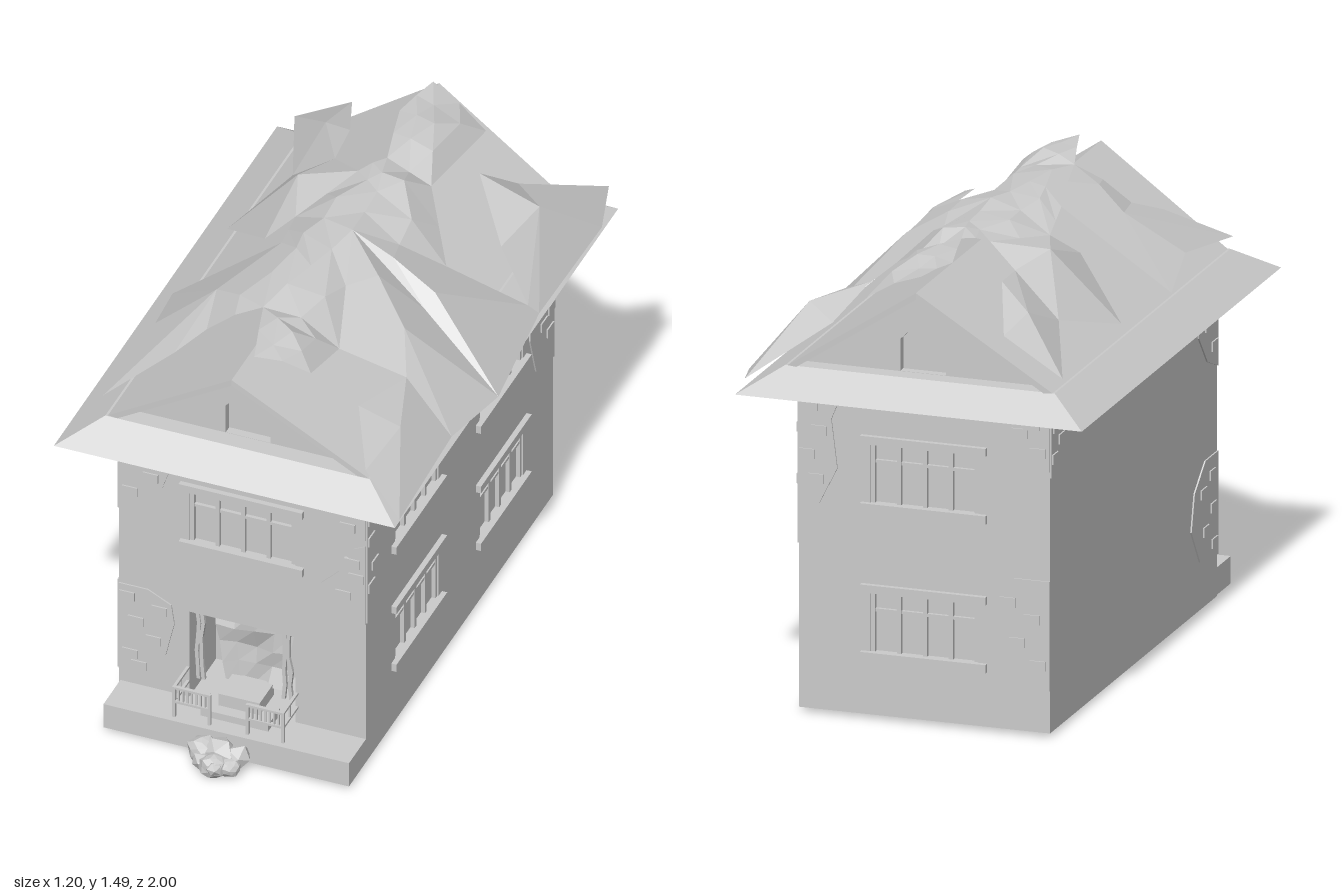
import * as THREE from 'three';

const stone = new THREE.MeshStandardMaterial({ color: 0xcccccc, side: THREE.DoubleSide });
stone.name = 'plain grey';

const hash = (a, b, c = 0) => {
  const s = Math.sin(a * 127.1 + b * 311.7 + c * 74.7) * 43758.5453;
  return s - Math.floor(s);
};
const flat = (g) => {
  const f = g.index ? g.toNonIndexed() : g;
  f.computeVertexNormals();
  return f;
};
function add(parent, name, geo, x = 0, y = 0, z = 0) {
  const m = new THREE.Mesh(geo, stone);
  m.name = name;
  m.position.set(x, y, z);
  parent.add(m);
  return m;
}
// box given by its lower and upper corner
function block(parent, name, a, b) {
  const s = b.map((v, i) => v - a[i]);
  return add(parent, name, new THREE.BoxGeometry(...s), ...a.map((v, i) => v + s[i] / 2));
}
const poly = (pts) => new THREE.Shape(pts.map((p) => new THREE.Vector2(...p)));
const rect = (x0, y0, x1, y1) => poly([[x0, y0], [x1, y0], [x1, y1], [x0, y1]]);
const slab = (shape, depth) => new THREE.ExtrudeGeometry(shape, { depth, bevelEnabled: false });
function reshape(g, rule) {
  const p = g.attributes.position, v = new THREE.Vector3();
  for (let i = 0; i < p.count; i++) {
    v.fromBufferAttribute(p, i);
    rule(v);
    p.setXYZ(i, v.x, v.y, v.z);
  }
  return flat(g);
}

// a recessed window between lintel and sill; u runs along the wall
function addWindow(wall, u, y0, h = 0.25) {
  const g = new THREE.Group();
  g.name = 'window';
  wall.add(g);
  const w = 0.18, lo = y0 + 0.028, hi = y0 + h - 0.026;
  add(g, 'glass', new THREE.PlaneGeometry(2 * w, hi - lo), u, (lo + hi) / 2, -0.018);
  block(g, 'sill', [u - 0.21, y0, -0.005], [u + 0.21, lo, 0.018]);
  block(g, 'lintel', [u - 0.21, hi, -0.005], [u + 0.21, y0 + h, 0.018]);
  for (let i = 0; i <= 4; i++) {
    const x = u + (w - 0.007) * (i / 2 - 1);
    block(g, 'mullion', [x - 0.007, lo, -0.018], [x + 0.007, hi, -0.004]);
  }
  block(g, 'crossBar', [u - w, hi - 0.065, -0.018], [u + w, hi - 0.055, -0.006]);
  return rect(u - w, lo, u + w, hi);
}

// wall with windows, bare-masonry patches and bricks
function addWall(root, name, turn, pos, u0, u1, windows, patches, bricks, door) {
  const wall = new THREE.Group();
  wall.name = name;
  wall.rotation.y = turn;
  wall.position.set(...pos);
  root.add(wall);
  const shape = rect(u0, 0.02, u1, 1.08);
  windows.forEach(([u, y]) => shape.holes.push(addWindow(wall, u, y)));
  if (door) shape.holes.push(door);
  add(wall, 'wallPanel', slab(shape, 0.02), 0, 0, -0.02);
  patches.forEach((p) => add(wall, 'plasterPatch', slab(poly(p), 0.005)));
  bricks.forEach(([u, y]) =>
    block(wall, 'brick', [u - 0.026, y - 0.016, 0], [u + 0.026, y + 0.016, 0.01]));
}

function addWalls(root) {
  const H = Math.PI / 2;
  addWall(root, 'frontWall', 0, [0, 0, 0.72], -0.44, 0.4, [[-0.02, 0.69]], [
    [[-0.44, 1.08], [-0.24, 1.08], [-0.19, 1.05], [-0.25, 1.02], [-0.29, 0.9], [-0.36, 0.81], [-0.44, 0.78]],
    [[0.26, 1.08], [0.4, 1.08], [0.4, 0.88], [0.35, 0.89], [0.3, 0.96], [0.285, 1.04]],
    [[0.4, 0.86], [0.36, 0.84], [0.31, 0.74], [0.25, 0.68], [0.27, 0.6], [0.32, 0.56], [0.4, 0.555]],
    [[-0.44, 0.49], [-0.34, 0.49], [-0.26, 0.45], [-0.25, 0.38], [-0.28, 0.25], [-0.33, 0.17], [-0.44, 0.16]],
  ], [[-0.41, 1.06], [-0.38, 1.0], [-0.33, 0.93], [-0.4, 0.86], [-0.32, 1.05], [0.35, 1.03], [0.37, 0.98],
    [0.34, 0.92], [0.355, 0.785], [0.37, 0.73], [0.325, 0.655], [-0.3, 0.42], [-0.38, 0.36], [-0.32, 0.3],
    [-0.4, 0.23], [-0.37, 0.19], [-0.41, 0.45]],
  rect(-0.2, 0.11, 0.16, 0.44));
  addWall(root, 'leftSideWall', H, [0.4, 0, 0], -0.72, 0.83,
    [[-0.3, 0.69], [0.4, 0.69], [-0.3, 0.235], [0.4, 0.235]], [
      [[-0.72, 0.56], [-0.56, 0.59], [-0.53, 0.75], [-0.56, 0.98], [-0.62, 1.06], [-0.72, 1.07]],
      [[0.83, 0.56], [0.83, 1.08], [0.7, 1.06], [0.65, 0.95], [0.63, 0.75], [0.68, 0.6]],
    ], [[-0.69, 0.87], [-0.66, 0.76], [-0.69, 0.69], [-0.69, 0.95], [0.77, 0.87], [0.8, 0.94], [0.8, 0.77],
      [0.74, 0.745], [0.79, 0.69]]);
  addWall(root, 'backWall', Math.PI, [0, 0, -0.83], -0.4, 0.44, [[0.02, 0.69], [0.02, 0.2]], [
    [[-0.4, 0.66], [-0.33, 0.7], [-0.27, 0.82], [-0.29, 0.98], [-0.25, 1.08], [-0.4, 1.08]],
    [[0.44, 0.88], [0.44, 1.08], [0.23, 1.08], [0.29, 1.02], [0.32, 0.92]],
    [[0.44, 0.16], [0.44, 0.52], [0.32, 0.52], [0.25, 0.44], [0.27, 0.28], [0.34, 0.18]],
  ], [[-0.36, 1.02], [-0.33, 0.94], [-0.37, 0.86], [-0.34, 0.78], [0.38, 1.03], [0.34, 1.0], [0.4, 0.94],
    [0.3, 0.44], [0.38, 0.39], [0.33, 0.31], [0.4, 0.24]]);
  addWall(root, 'rightSideWall', -H, [-0.44, 0, 0], -0.83, 0.72, [], [
    [[-0.83, 0.86], [-0.72, 0.9], [-0.66, 1.0], [-0.62, 1.08], [-0.83, 1.08]],
    [[0.72, 0.78], [0.72, 1.08], [0.5, 1.08], [0.54, 0.92], [0.62, 0.82]],
    [[0.72, 0.16], [0.72, 0.5], [0.6, 0.5], [0.5, 0.42], [0.47, 0.3], [0.55, 0.18]],
  ], [[-0.79, 1.02], [-0.74, 0.97], [-0.8, 0.92], [0.68, 1.0], [0.62, 0.94], [0.68, 0.86], [0.58, 0.4],
    [0.66, 0.44], [0.67, 0.33], [0.6, 0.27], [0.68, 0.21]]);
}

function addPorch(root) {
  block(root, 'porchPlatform', [-0.435, 0.02, 0.72], [0.4, 0.11, 0.86]);
  // doorway recess
  block(root, 'doorFloor', [-0.2, 0.1, 0.5], [0.16, 0.11, 0.72]);
  block(root, 'doorCeiling', [-0.2, 0.44, 0.5], [0.16, 0.45, 0.72]);
  block(root, 'doorBack', [-0.2, 0.1, 0.49], [0.16, 0.45, 0.5]);
  for (const x of [-0.21, 0.16]) block(root, 'doorSide', [x, 0.1, 0.49], [x + 0.01, 0.45, 0.72]);
  block(root, 'lowerStep', [-0.13, 0.11, 0.7], [0.1, 0.135, 0.8]);
  block(root, 'upperStep', [-0.085, 0.135, 0.64], [0.055, 0.18, 0.76]);
  // torn curtain and its side strips
  add(root, 'curtain', reshape(new THREE.PlaneGeometry(0.28, 0.28, 4, 4), (v) => {
    const k = hash(v.x, v.y);
    v.x *= 0.85 + 1.2 * Math.min(0.1, v.y);
    v.z = (k - 0.5) * 0.035;
    v.y += (hash(v.y, v.x) - 0.5) * 0.02;
  }), -0.01, 0.3, 0.64);
  for (const x of [-0.18, -0.165, 0.115, 0.13]) {
    add(root, 'curtainStrip', reshape(new THREE.BoxGeometry(0.012, 0.27, 0.012, 1, 5, 1), (v) => {
      v.x += (hash(v.y, x) - 0.5) * 0.014;
    }), x, 0.305, 0.69);
  }
  // railings: front run and a return to the wall
  for (const [x0, x1, outer] of [[-0.205, -0.085, -0.205], [0.045, 0.165, 0.165]]) {
    const rail = new THREE.Group();
    rail.name = 'railing';
    root.add(rail);
    for (const y of [0.165, 0.218]) {
      block(rail, 'rail', [x0, y, 0.828], [x1, y + 0.008, 0.84]);
      block(rail, 'sideRail', [outer - 0.005, y, 0.72], [outer + 0.005, y + 0.008, 0.84]);
    }
    for (const x of [x0, x1]) block(rail, 'post', [x - 0.005, 0.11, 0.828], [x + 0.005, 0.225, 0.84]);
    for (let i = 1; i < 8; i++) {
      const x = x0 + (i * (x1 - x0)) / 8;
      block(rail, 'baluster', [x - 0.003, 0.165, 0.831], [x + 0.003, 0.22, 0.837]);
    }
    block(rail, 'sideBaluster', [outer - 0.003, 0.165, 0.777], [outer + 0.003, 0.22, 0.783]);
  }
  // rubble heap: x, y, z, radius
  [[-0.025, 0.065, 0.895, 0.06], [-0.085, 0.055, 0.89, 0.055], [0.03, 0.052, 0.89, 0.055], [-0.025, 0.045, 0.945, 0.05],
    [-0.065, 0.04, 0.93, 0.04], [0.02, 0.04, 0.93, 0.04], [-0.015, 0.05, 0.972, 0.03]].forEach(([x, y, z, r], i) => {
    const g = new THREE.IcosahedronGeometry(r, i % 2);
    add(root, 'rubbleStone', reshape(g.rotateY(i * 1.3).rotateX(i), (v) => {
      const q = v.toArray().map((n) => Math.round(n * 1e3) / 1e3);
      v.multiplyScalar(0.8 + 0.25 * hash(q[0] + i, q[1], q[2]));
      v.y *= 0.9;
    }), x, y, z);
  });
}

function addRoof(root) {
  // hipped eave skirt
  add(root, 'eaveSkirt', reshape(new THREE.BoxGeometry(1.16, 0.08, 1.85), (v) => {
    if (v.y < 0) return;
    v.x = Math.sign(v.x) * 0.45;
    v.z = v.z > 0 ? 0.815 : -0.815;
  }), -0.02, 1.115, -0.055);
  // two roof slopes, longer at the ridge
  for (const s of [-1, 1]) {
    add(root, 'roofSlope', reshape(new THREE.BoxGeometry(1, 1, 1), (v) => {
      const u = 0.5 + s * v.x;
      v.set(-0.02 + s * u * 0.45, 1.45 - 0.3 * u - (v.y < 0 ? 0.022 : 0),
        v.z > 0 ? 0.81 - 0.055 * u : -0.91 + 0.04 * u);
    }));
  }
  // gable ends with an arched niche
  for (const [z, front] of [[0.7, 1], [-0.81, -1]]) {
    const gable = poly([[-0.46, 1.14], [0.42, 1.14], [-0.02, 1.435]]);
    gable.holes.push(poly([[-0.085, 1.156], [0.068, 1.156], [0.068, 1.26], [0.045, 1.284], [-0.062, 1.284], [-0.085, 1.26]]));
    add(root, 'gableWall', slab(gable, 0.03), 0, 0, front > 0 ? z - 0.03 : z);
    add(root, 'gableNiche', new THREE.PlaneGeometry(0.16, 0.14), -0.01, 1.22, z - front * 0.029);
  }
}

// crumpled torn sheet draped over the roof
function addSheet(root) {
  // points in plan (x, z); the last one lies inside the sheet
  const plan = [[-0.5, -0.88], [-0.3, -0.87], [-0.2, -0.61], [-0.19, -0.46], [-0.07, -0.36], [0, -0.43],
    [-0.06, -0.68], [-0.02, -0.86], [0.18, -0.81], [0.15, -0.43], [0.3, -0.19], [0.52, -0.33], [0.4, -0.4],
    [0.24, -0.61], [0.32, -0.74], [0.52, -1], [0.57, -0.82], [0.55, -0.35], [0.6, 0.11], [0.56, 0.4], [0.58, 0.88],
    [0.44, 0.82], [0.33, 0.61], [0.39, 0.36], [0.19, 0.43], [0.18, 0.64], [0.02, 0.72], [-0.06, 0.45],
    [-0.24, 0.48], [-0.31, 0.58], [-0.49, 0.73], [-0.46, 0.37], [-0.5, 0.13], [-0.15, 0.08], [-0.18, -0.11],
    [-0.26, -0.05], [-0.47, -0.25], [-0.35, -0.5], [0.05, -0.02]];
  // height of each point above the roof slope, stored in y
  const rim = plan.map(([x, z], i) => new THREE.Vector3(x, (x > 0.5 ? 0.015 : 0.045) + 0.06 * hash(i, 3), z));
  rim[38].y = 0.12;
  // each fold is a fan: centre x, z, then its corners
  const folds = [
    [-0.32, -0.7, [0, 1, 2, 3, 37]], [-0.25, -0.3, [37, 3, 4, 34, 35, 36]], [0.07, -0.65, [5, 6, 7, 8, 9]],
    [0.04, -0.25, [4, 5, 9, 10, 38, 34]], [0.34, 0, [10, 11, 17, 18, 38]], [0.44, -0.62, [11, 12, 13, 14, 15, 16, 17]],
    [0.33, 0.23, [38, 18, 19, 23, 24]], [0.46, 0.58, [19, 20, 21, 22, 23]], [0, 0.2, [33, 34, 38, 24, 27]],
    [0.08, 0.55, [24, 25, 26, 27]], [-0.28, 0.3, [27, 28, 29, 30, 31, 32, 33]],
  ];
  const tris = folds.flatMap(([x, z, ring], n) => {
    const mid = new THREE.Vector3(x, 0.1 + 0.06 * hash(n, 8), z);
    return ring.map((a, i) => [mid, rim[ring[(i + 1) % ring.length]], rim[a]]);
  });
  // halve every edge once, so the folds bend over the ridge
  const fine = tris.flatMap(([a, b, c]) => {
    const [d, e, f] = [[a, b], [b, c], [c, a]].map(([p, q]) => p.clone().add(q).multiplyScalar(0.5));
    return [[a, d, f], [d, b, e], [f, e, c], [d, e, f]];
  });
  const pts = fine.flat().map((p) =>
    new THREE.Vector3(p.x, Math.min(1.48 + 0.02 * hash(p.x, p.z), 1.45 - 0.67 * Math.abs(p.x + 0.02) + p.y), p.z));
  add(root, 'drapedSheet', flat(new THREE.BufferGeometry().setFromPoints(pts)));
}

export function createModel() {
  const root = new THREE.Group();
  root.name = 'house';
  addWalls(root);
  addPorch(root);
  addRoof(root);
  addSheet(root);
  return root;
}
